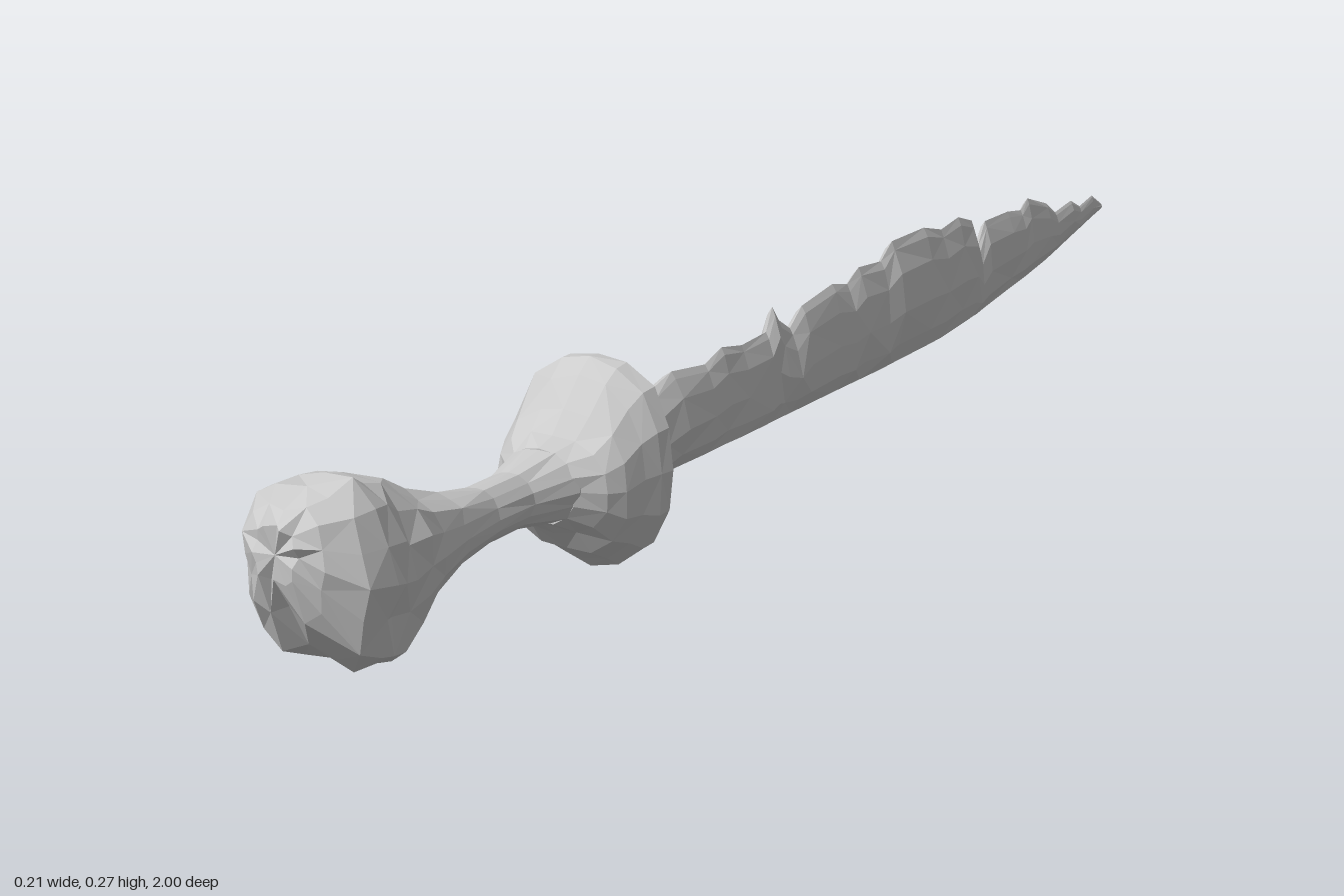
import * as THREE from 'three';

const material = new THREE.MeshStandardMaterial({ color: 0xcccccc, flatShading: true });

// repeatable noise in -1..1
function noise(i, j) {
  const s = Math.sin(i * 12.9898 + j * 78.233 + 4.1) * 43758.5453;
  return (s - Math.floor(s)) * 2 - 1;
}

// skin a row of equal-sized rings running toward -z, closed at both ends
function loft(name, rings) {
  const n = rings[0].length;
  const points = rings.flat();
  const index = [];
  for (let i = 0; i < rings.length - 1; i++) {
    for (let j = 0; j < n; j++) {
      const a = i * n + j, b = i * n + (j + 1) % n;
      const c = a + n, d = b + n;
      if ((i + j) % 2) index.push(a, c, b, b, c, d);
      else index.push(a, c, d, a, d, b);
    }
  }
  const ends = [rings[0], rings[rings.length - 1]];
  ends.forEach((ring, e) => {
    const centre = points.length;
    const start = e ? (rings.length - 1) * n : 0;
    points.push(ring.reduce((s, p) => s.add(p), new THREE.Vector3()).divideScalar(n));
    for (let j = 0; j < n; j++) {
      const a = start + j, b = start + (j + 1) % n;
      if (e) index.push(centre, b, a);
      else index.push(centre, a, b);
    }
  });
  const geometry = new THREE.BufferGeometry().setFromPoints(points);
  geometry.setIndex(index);
  geometry.computeVertexNormals();
  const mesh = new THREE.Mesh(geometry, material);
  mesh.name = name;
  return mesh;
}

// rough oval ring; shape(angle) scales the radius
function ovalRing([z, bottom, top, half], row, rough, shape = () => 1, n = 16) {
  const ring = [];
  for (let j = 0; j < n; j++) {
    const a = (j / n) * Math.PI * 2;
    const r = shape(a) * (1 + rough * noise(row, j));
    ring.push(new THREE.Vector3(
      Math.cos(a) * half * r,
      (top + bottom) / 2 + Math.sin(a) * (top - bottom) / 2 * r,
      z + noise(row + 50, j) * rough * 0.1
    ));
  }
  return ring;
}

// linear lookup in rows sorted by falling z
function sample(rows, z, column) {
  for (let i = 0; i < rows.length - 1; i++) {
    const a = rows[i], b = rows[i + 1];
    if (z <= a[0] && z >= b[0]) {
      return THREE.MathUtils.lerp(a[column], b[column], (a[0] - z) / (a[0] - b[0]));
    }
  }
  return rows[rows.length - 1][column];
}

// bone grip with a knuckled end: z, bottom, top, half width
function makeHandle() {
  const rows = [
    [0.995, 0.17, 0.235, 0.028], [0.975, 0.125, 0.252, 0.056],
    [0.94, 0.065, 0.264, 0.086], [0.905, 0.045, 0.268, 0.09],
    [0.87, 0.03, 0.26, 0.078], [0.835, 0.025, 0.248, 0.071],
    [0.80, 0.05, 0.232, 0.068], [0.76, 0.075, 0.208, 0.058],
    [0.70, 0.096, 0.185, 0.046], [0.62, 0.102, 0.172, 0.034],
    [0.55, 0.098, 0.17, 0.034], [0.48, 0.085, 0.182, 0.055],
    [0.42, 0.08, 0.2, 0.06]
  ];
  const rings = rows.map((row, i) => {
    const knuckle = THREE.MathUtils.smoothstep(row[0], 0.74, 0.9);
    return ovalRing(row, i, 0.05 + 0.02 * knuckle, a => {
      const cleft = Math.exp(-(((a - Math.PI * 1.5) / 0.22) ** 2)) * 0.16;
      const waist = Math.max(0, Math.cos(2 * (Math.abs(Math.cos(a)) < 1e-6 ? Math.PI / 2 : a))) *
        (Math.sin(a) < -0.1 ? 0.14 : 0);
      const corners = Math.sin(2 * a) ** 2 * 0.09;
      return 1 + knuckle * (corners - cleft - waist);
    });
  });
  return loft('handle', rings);
}

// flared collar between grip and blade
function makeGuard() {
  const rows = [
    [0.49, 0.088, 0.18, 0.05], [0.46, 0.068, 0.19, 0.078],
    [0.435, 0.038, 0.215, 0.09], [0.405, 0.02, 0.247, 0.096],
    [0.38, 0.004, 0.265, 0.102], [0.358, 0.003, 0.266, 0.103],
    [0.345, 0.016, 0.25, 0.092], [0.353, 0.04, 0.22, 0.065],
    [0.325, 0.057, 0.203, 0.043]
  ];
  const boxy = a => 1 + 0.06 * Math.sin(2 * a) ** 2;
  return loft('guard', rows.map((row, i) => ovalRing(row, i + 20, 0.025, boxy)));
}

// chipped blade, thin along both edges
function makeBlade() {
  const chippedEdge = [
    [0.36, 0.2], [0.3, 0.198], [0.25, 0.188], [0.2, 0.2], [0.12, 0.188], [0.08, 0.2],
    [0.03, 0.19], [-0.03, 0.192], [-0.045, 0.222], [-0.062, 0.2], [-0.09, 0.182],
    [-0.12, 0.205], [-0.2, 0.215], [-0.24, 0.205], [-0.27, 0.221], [-0.33, 0.215],
    [-0.36, 0.236], [-0.45, 0.234], [-0.5, 0.22], [-0.55, 0.226], [-0.59, 0.212],
    [-0.61, 0.17], [-0.63, 0.202], [-0.7, 0.2], [-0.74, 0.193], [-0.76, 0.206],
    [-0.82, 0.185], [-0.85, 0.165], [-0.9, 0.171], [-0.93, 0.156], [-0.97, 0.163],
    [-1, 0.145]
  ];
  // z, bottom edge, half width
  const body = [
    [0.36, 0.05, 0.055], [0.3, 0.066, 0.038], [0.2, 0.071, 0.026], [0.1, 0.068, 0.018],
    [0, 0.065, 0.014], [-0.1, 0.065, 0.02], [-0.25, 0.062, 0.019], [-0.4, 0.06, 0.023],
    [-0.5, 0.061, 0.019], [-0.6, 0.069, 0.015], [-0.8, 0.095, 0.013], [-1, 0.136, 0.003]
  ];
  // height fraction and width fraction up one side
  const side = [[0.02, 0.2], [0.18, 0.75], [0.45, 1], [0.75, 0.75], [0.93, 0.35]];
  const rings = chippedEdge.map(([z, top], i) => {
    const bottom = sample(body, z, 1), half = sample(body, z, 2);
    const at = (t, w, s, j) => new THREE.Vector3(
      s * half * w * (1 + 0.16 * noise(i, j + s)),
      bottom + (top - bottom) * t,
      z
    );
    return [
      ...side.map(([t, w], j) => at(t, w, 1, j)),
      at(1, 0.08, 1, 9),
      ...side.map(([t, w], j) => at(t, w, -1, j)).reverse()
    ];
  });
  return loft('blade', rings);
}

export function createModel() {
  const model = new THREE.Group();
  model.name = 'boneKnife';
  model.add(makeHandle(), makeGuard(), makeBlade());
  return model;
}
